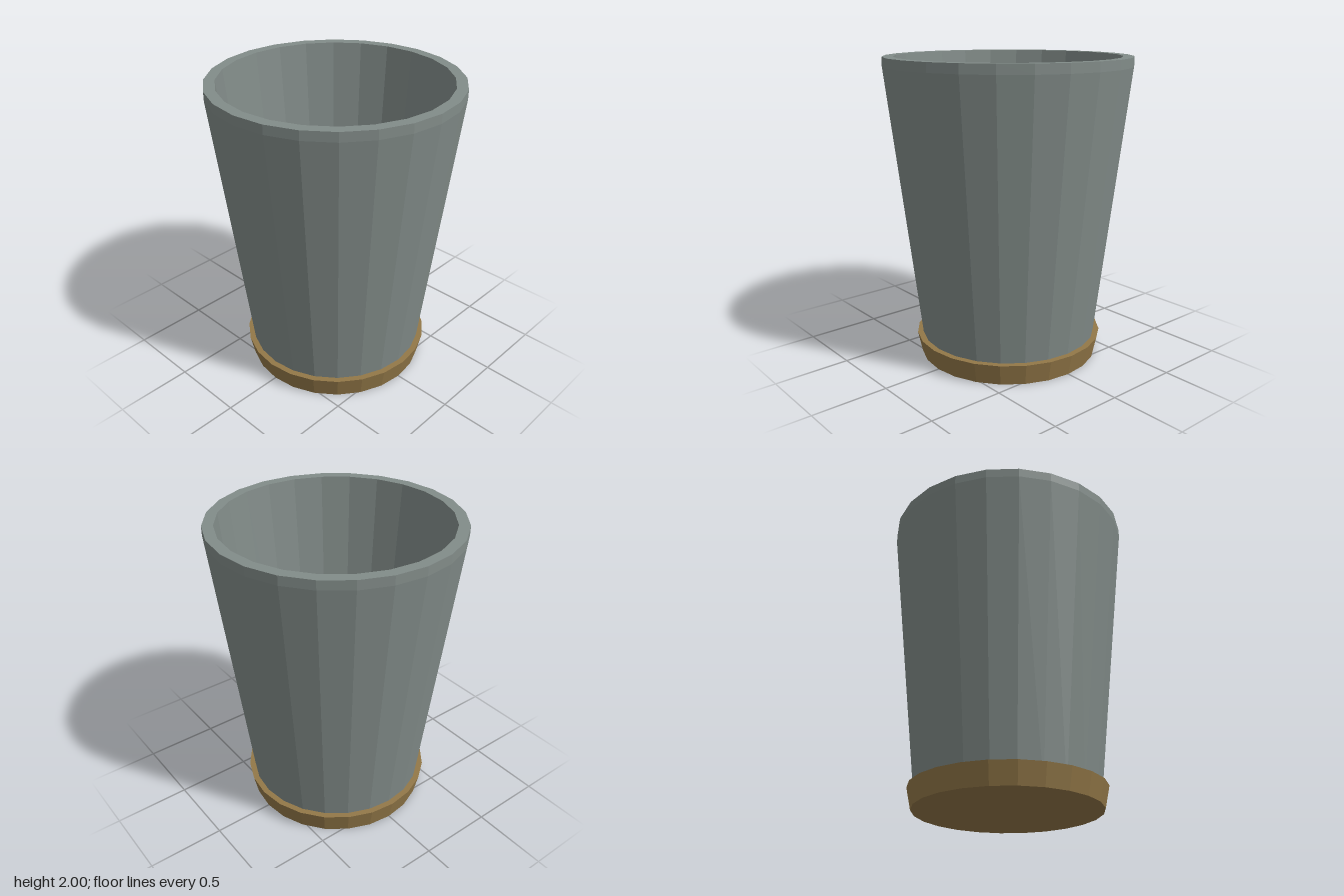
import * as THREE from 'three';

const SIDES = 24;

// Faceted turned part from a closed profile of [radius, height] points
function turned(name, profile, material) {
  const points = profile.map(([r, y]) => new THREE.Vector2(r, y));
  const mesh = new THREE.Mesh(new THREE.LatheGeometry(points, SIDES), material);
  mesh.name = name;
  return mesh;
}

export function createModel() {
  const grey = new THREE.MeshStandardMaterial({ name: 'potGrey', color: 0x828c89, flatShading: true });
  const brown = new THREE.MeshStandardMaterial({ name: 'saucerBrown', color: 0x937848, flatShading: true });

  const model = new THREE.Group();
  model.name = 'plantPot';

  // Tapered hollow pot: underside, outer wall, straight rim, inner wall, floor
  model.add(turned('pot', [
    [0, 0.005], [0.575, 0.005], [0.8, 1.94], [0.8, 2],
    [0.73, 2], [0.55, 0.12], [0, 0.12],
  ], grey));

  // Shallow saucer gripping the foot of the pot
  model.add(turned('saucer', [
    [0, 0], [0.6, 0], [0.63, 0.14], [0.58, 0.14],
  ], brown));

  return model;
}
